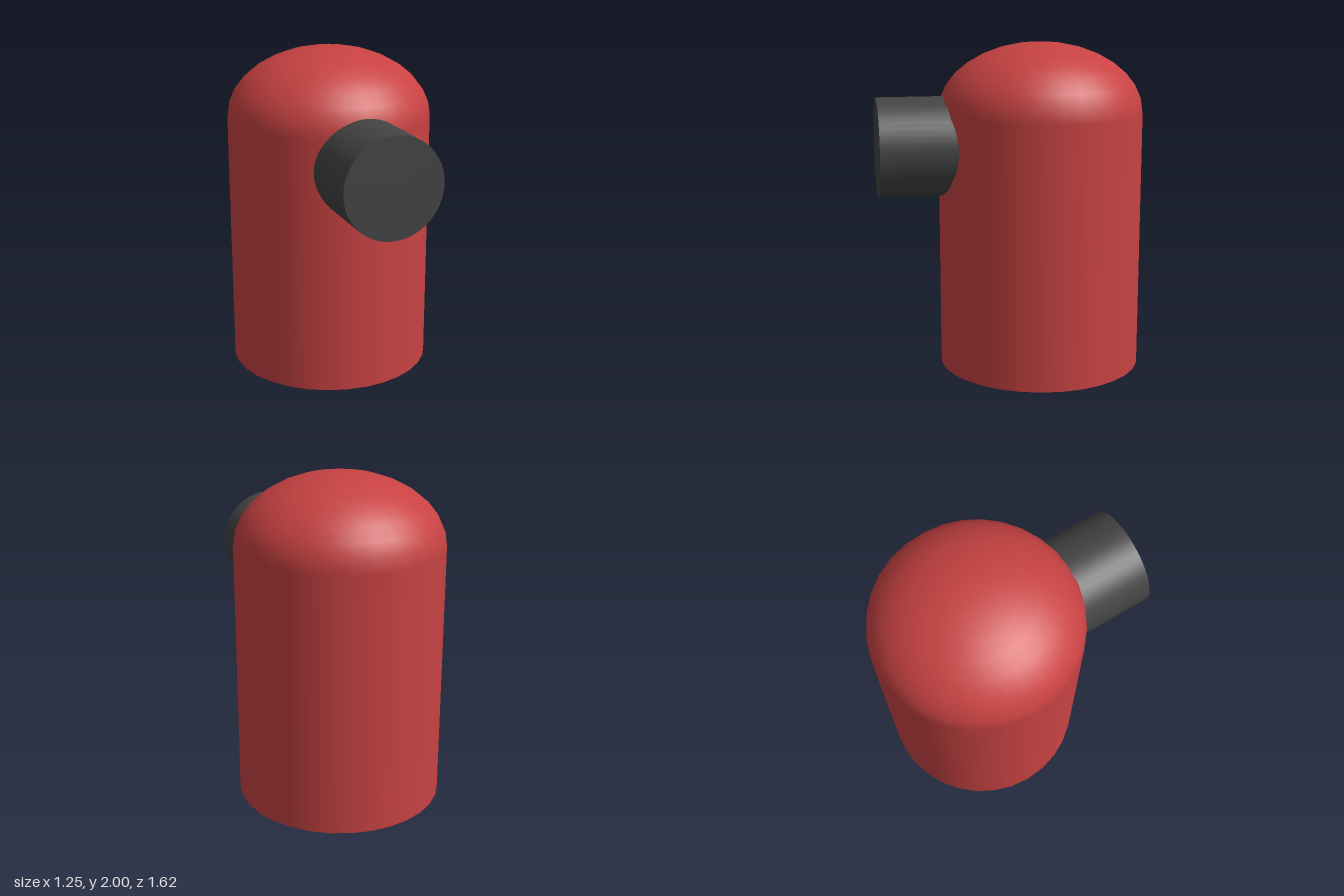
import * as THREE from 'three';

export function createModel() {
  const model = new THREE.Group();
  const red = new THREE.MeshStandardMaterial({ color: 0xc84242 });
  red.name = 'red';
  const darkGrey = new THREE.MeshStandardMaterial({ color: 0x444444 });
  darkGrey.name = 'darkGrey';

  const radius = 0.625, shoulder = 1.575, bodyZ = -0.1875, sides = 32;

  const add = (name, geometry, material, x, y, z) => {
    const mesh = new THREE.Mesh(geometry, material);
    mesh.name = name;
    mesh.position.set(x, y, z);
    model.add(mesh);
    return mesh;
  };

  // Upright body wall, open at the top where the dome closes it
  add('body', new THREE.CylinderGeometry(radius, radius, shoulder, sides, 1, true),
    red, 0, shoulder / 2, bodyZ);

  // Flat underside
  add('base', new THREE.CircleGeometry(radius, sides).rotateX(Math.PI / 2), red, 0, 0, bodyZ);

  // Flattened dome
  const dome = add('dome',
    new THREE.SphereGeometry(radius, sides, 8, 0, Math.PI * 2, 0, Math.PI / 2),
    red, 0, shoulder, bodyZ);
  dome.scale.y = (2 - shoulder) / radius;

  // Round spout, sunk into the body and pointing forward
  const back = 0.15, front = 0.8125;
  add('spout', new THREE.CylinderGeometry(0.3, 0.3, front - back, 48).rotateX(Math.PI / 2),
    darkGrey, 0, 1.38, (front + back) / 2);

  return model;
}
